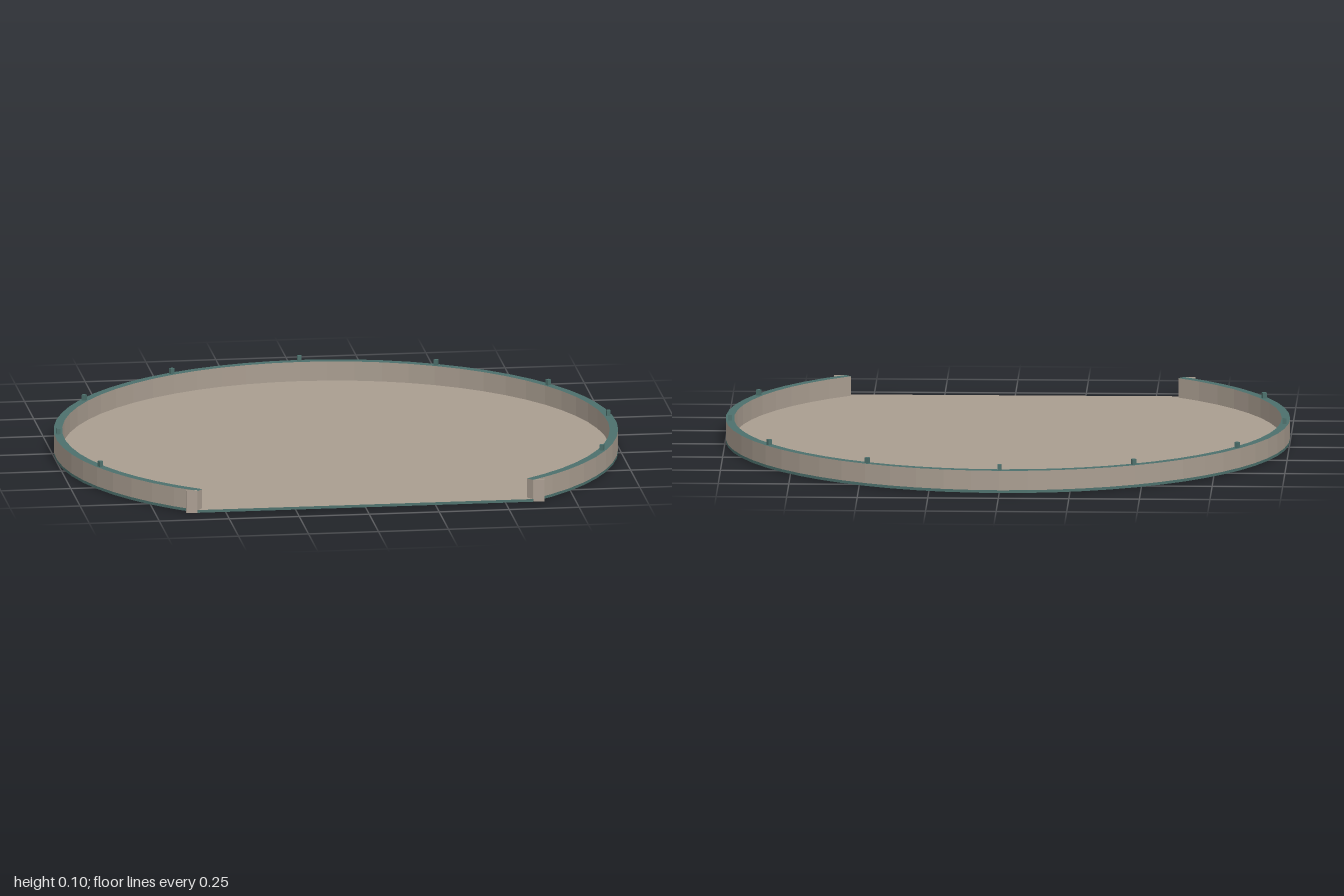
import * as THREE from 'three';

const CENTRE_Z = 0.1;   // the round plan sits slightly forward of the origin
const HALF_ARC = 2.5;   // radians swept each side of the back
const FLOOR = 0.01, WALL_TOP = 0.08;
const START = Math.PI / 2 - HALF_ARC, END = Math.PI / 2 + HALF_ARC;

export function createModel() {
  const group = new THREE.Group();
  const tan = new THREE.MeshStandardMaterial({ color: 0xa99d90 });
  tan.name = 'warm grey';
  const teal = new THREE.MeshStandardMaterial({ color: 0x4c706c });
  teal.name = 'teal';

  function add(name, geometry, material) {
    const mesh = new THREE.Mesh(geometry, material);
    mesh.name = name;
    group.add(mesh);
    return mesh;
  }

  // Extrude a plan shape upwards from y = base
  function slab(shape, base, height) {
    const g = new THREE.ExtrudeGeometry(shape, { depth: height, bevelEnabled: false, curveSegments: 25 });
    return g.rotateX(-Math.PI / 2).translate(0, base, CENTRE_Z);
  }

  // Floor: a disc with a straight front edge and a teal rim
  const floorShape = new THREE.Shape();
  floorShape.absarc(0, 0, 1, START, END, false);
  floorShape.closePath();
  add('floor', slab(floorShape, 0, FLOOR), [tan, teal]);

  // Curved wall, open at the front, with a teal top
  const wallShape = new THREE.Shape();
  wallShape.absarc(0, 0, 1, START, END, false);
  wallShape.absarc(0, 0, 0.97, END, START, true);
  wallShape.closePath();
  add('wall', slab(wallShape, FLOOR, WALL_TOP - FLOOR), [teal, tan]);

  // Flanges where the wall meets the opening
  for (const side of [-1, 1]) {
    const flange = add(side > 0 ? 'leftFlange' : 'rightFlange',
      new THREE.BoxGeometry(0.04, WALL_TOP, 0.01), tan);
    flange.position.set(side * 0.62, WALL_TOP / 2, 0.895);
  }

  // Small pegs spaced evenly along the wall top
  const pegGeometry = new THREE.BoxGeometry(0.014, 0.02, 0.014);
  for (let i = -4; i <= 4; i++) {
    const a = i * 0.5;
    const peg = add('peg', pegGeometry, teal);
    peg.position.set(0.985 * Math.sin(a), WALL_TOP + 0.01, CENTRE_Z - 0.985 * Math.cos(a));
    peg.rotation.y = -a;
  }

  return group;
}
